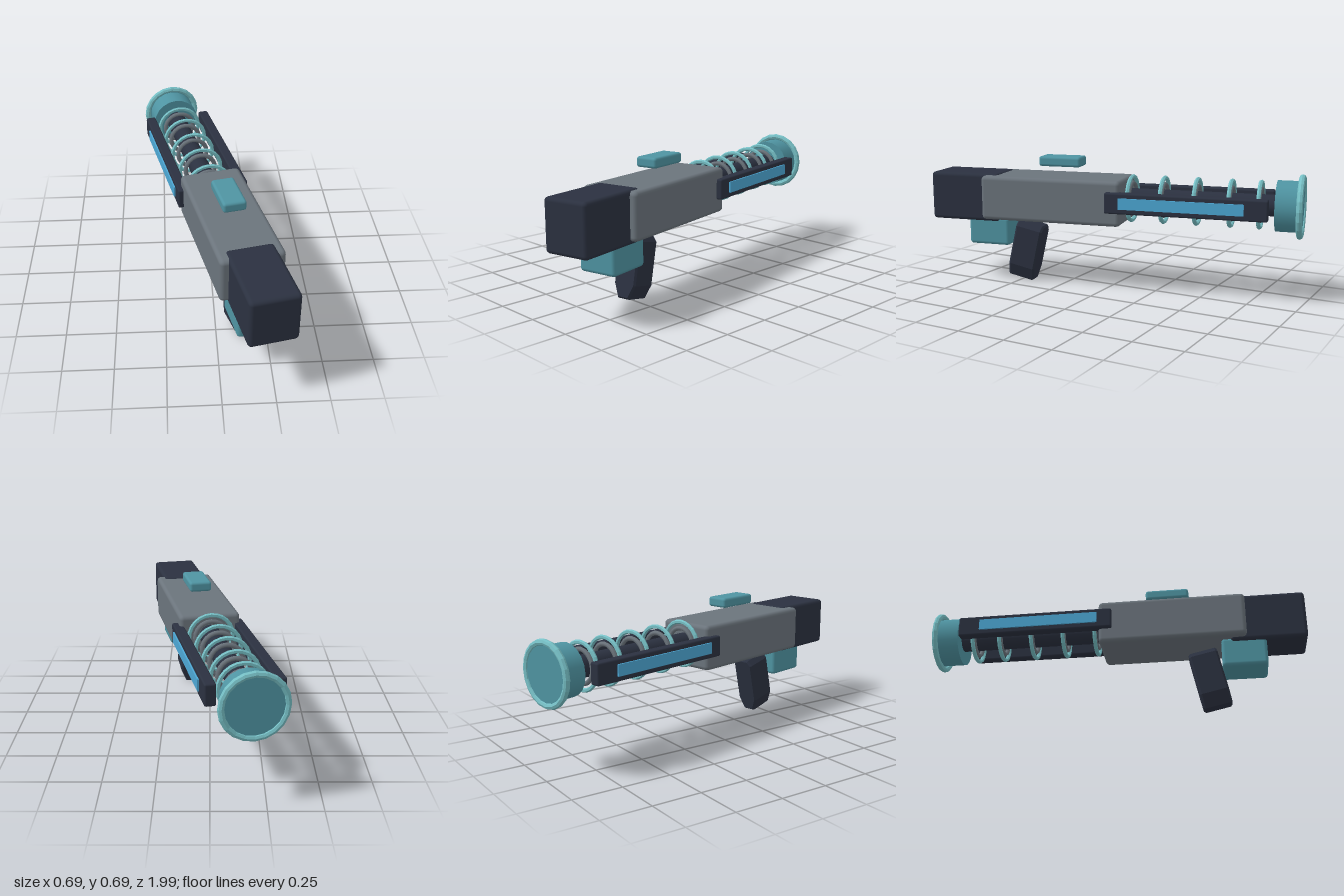
import * as THREE from 'three';
import { RoundedBoxGeometry } from 'three/addons/geometries/RoundedBoxGeometry.js';

const material = (name, color, flat = false) => {
  const m = new THREE.MeshStandardMaterial({ color, flatShading: flat });
  m.name = name;
  return m;
};

export function createModel() {
  const dark = material('dark navy', 0x2b3140);
  const gray = material('steel gray', 0x6b747c);
  const teal = material('teal', 0x4f94a2);
  const pale = material('pale teal', 0x76bfc5, true);
  const blue = material('glow blue', 0x4ca7d4);

  const model = new THREE.Group();
  model.name = 'blaster';
  const AXIS_X = 0.017, AXIS_Y = 0.483;

  const add = (name, geometry, mat, x, y, z) => {
    const mesh = new THREE.Mesh(geometry, mat);
    mesh.name = name;
    mesh.position.set(x, y, z);
    model.add(mesh);
    return mesh;
  };
  // Softened box given by its limits on each axis
  const block = (name, mat, [x0, x1], [y0, y1], [z0, z1], r) =>
    add(name, new RoundedBoxGeometry(x1 - x0, y1 - y0, z1 - z0, 2, r), mat,
      (x0 + x1) / 2, (y0 + y1) / 2, (z0 + z1) / 2);
  // Cylinder lying along z
  const rod = (name, mat, radius, z0, z1, sides) =>
    add(name, new THREE.CylinderGeometry(radius, radius, z1 - z0, sides).rotateX(Math.PI / 2),
      mat, AXIS_X, AXIS_Y, (z0 + z1) / 2);

  // Main housing, stock and attached blocks
  block('body', gray, [-0.143, 0.173], [0.355, 0.59], [-0.078, 0.688], 0.022);
  block('stock', dark, [-0.102, 0.137], [0.339, 0.596], [0.605, 0.995], 0.02);
  block('topSight', teal, [-0.045, 0.072], [0.64, 0.693], [0.165, 0.395], 0.014);
  block('magazine', teal, [-0.085, 0.119], [0.207, 0.36], [0.555, 0.787], 0.018);

  // Grip: tapered outline, tilted so its foot swings toward the stock
  const outline = new THREE.Shape([
    [-0.035, 0.148], [0.035, 0.148], [0.054, 0.125], [0.054, -0.085],
    [0.027, -0.148], [-0.027, -0.148], [-0.054, -0.085], [-0.054, 0.125],
  ].reverse().map(([x, y]) => new THREE.Vector2(x, y)));
  const gripGeometry = new THREE.ExtrudeGeometry(outline, {
    depth: 0.13, bevelEnabled: true, bevelThickness: 0.01, bevelSize: 0.008, bevelSegments: 1,
  }).translate(0, 0, -0.065);
  add('grip', gripGeometry, dark, 0.012, 0.17, 0.488).rotation.x = -0.22;

  // Barrel with paired coil rings
  rod('barrel', dark, 0.055, -0.86, -0.06, 16);
  const outerRing = new THREE.TorusGeometry(0.115, 0.011, 6, 24);
  const innerRing = new THREE.TorusGeometry(0.082, 0.012, 6, 24);
  for (const z of [-0.106, -0.277, -0.45, -0.624, -0.77]) {
    add('coilRing', outerRing, pale, AXIS_X, AXIS_Y + 0.001, z);
    add('innerCoilRing', innerRing, gray, AXIS_X, AXIS_Y, z);
  }

  // Muzzle cup with rim
  rod('muzzleCup', teal, 0.129, -0.972, -0.85, 20);
  rod('muzzlePlate', teal, 0.145, -0.976, -0.968, 20);
  add('muzzleRim', new THREE.TorusGeometry(0.147, 0.016, 8, 20), pale, AXIS_X, AXIS_Y, -0.97);

  // Side rails with light strips
  for (const side of [-1, 1]) {
    const x = AXIS_X + side * 0.159;
    block('rail', dark, [x - 0.027, x + 0.027], [0.43, 0.537], [-0.826, -0.005], 0.009);
    add('lightStrip', new THREE.BoxGeometry(0.009, 0.057, 0.63), blue,
      x + side * 0.0305, 0.485, -0.396);
  }

  // The whole piece is turned slightly about the vertical
  model.rotation.y = 0.213;
  const root = new THREE.Group();
  root.name = 'model';
  root.add(model);
  return root;
}
